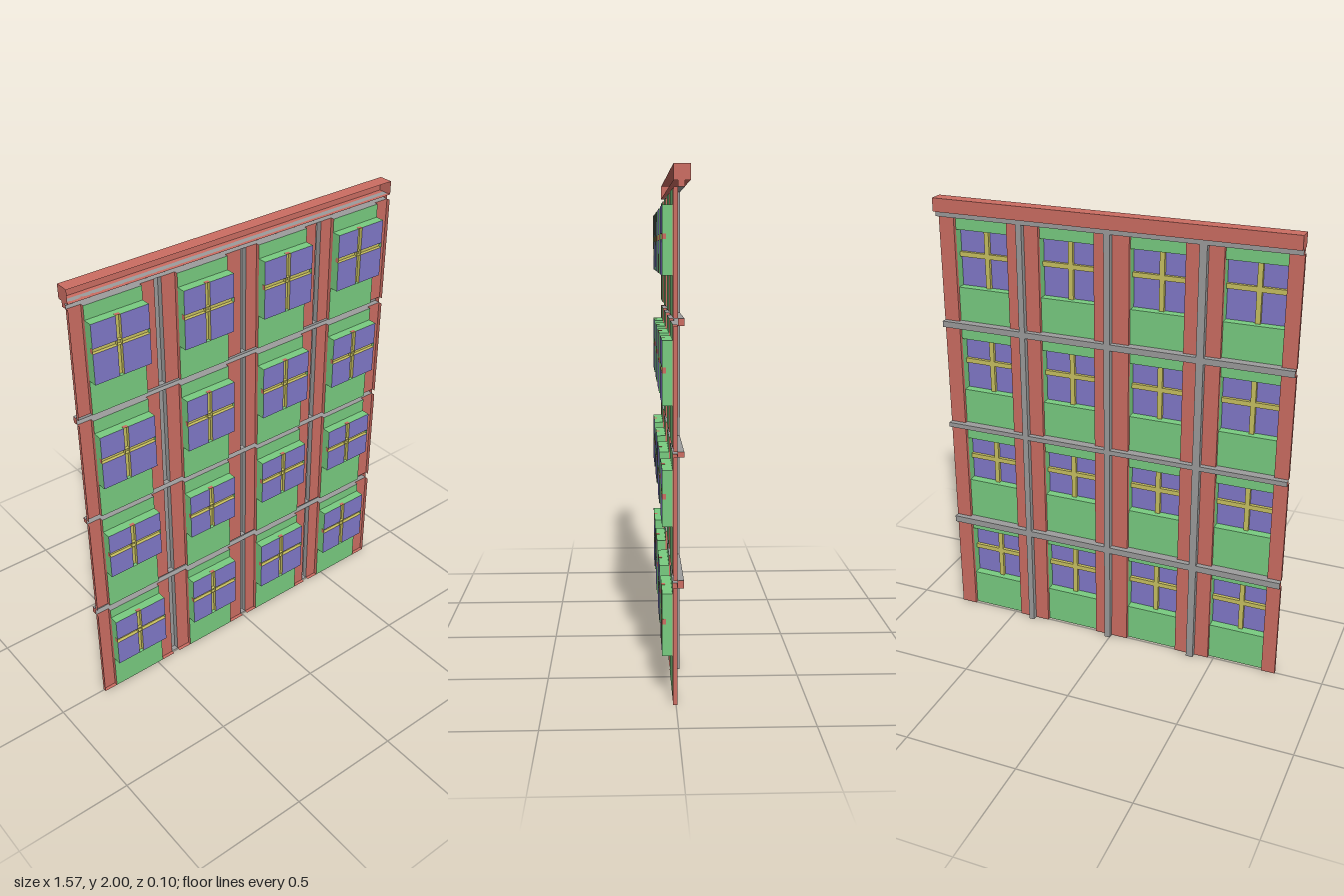
import * as THREE from 'three';

const paint = (color) => new THREE.MeshStandardMaterial({ color, side: THREE.DoubleSide });
const red = paint(0xcb6d62), green = paint(0x78cb80), blue = paint(0x8078c8);
const yellow = paint(0xc8c060), grey = paint(0x9c9c9c);

// Depths, from the window glass to the face of the cornice
const Z = { glass: 0.05, bar: 0.035, panel: 0.011, pilaster: -0.005, trim: -0.029, cornice: -0.05 };
const HALF = 0.787;

// Columns: panel edges, window bar centre; vertical trims between them
const columns = [
  { x: [-0.726, -0.474], bar: -0.608 },
  { x: [-0.316, -0.078], bar: -0.204 },
  { x: [0.077, 0.325], bar: 0.198 },
  { x: [0.47, 0.717], bar: 0.587 },
];
const trims = [[-0.41, -0.378], [-0.003, 0.024], [0.389, 0.415]];

// Storeys: wall heights, window heights, window bar centre
const storeys = [
  { y: [0, 0.454], win: [0.167, 0.411], bar: 0.302 },
  { y: [0.483, 0.947], win: [0.671, 0.886], bar: 0.786 },
  { y: [0.968, 1.427], win: [1.127, 1.369], bar: 1.259 },
  { y: [1.454, 1.918], win: [1.605, 1.859], bar: 1.746 },
];
const bands = [[0.454, 0.483], [0.947, 0.968], [1.427, 1.454], [1.918, 1.942]];

const SIDES = ['px', 'nx', 'py', 'ny', 'pz', 'nz'];

// Sheet-metal box keeping only the listed sides; caps get their own material
function shell(parent, name, x, y, z, sides, mat, caps = [], capMat = mat) {
  const geo = new THREE.BoxGeometry(x[1] - x[0], y[1] - y[0], z[1] - z[0]);
  const source = Array.from(geo.index.array);
  const index = [];
  geo.clearGroups();
  [...sides, ...caps].forEach((side, i) => {
    const at = SIDES.indexOf(side) * 6;
    geo.addGroup(index.length, 6, i < sides.length ? 0 : 1);
    index.push(...source.slice(at, at + 6));
  });
  geo.setIndex(index);
  geo.translate((x[0] + x[1]) / 2, (y[0] + y[1]) / 2, (z[0] + z[1]) / 2);
  const mesh = new THREE.Mesh(geo, [mat, capMat]);
  mesh.name = name;
  parent.add(mesh);
}

// Flat upright rectangle
function sheet(parent, name, x, y, z, mat) {
  const mesh = new THREE.Mesh(new THREE.PlaneGeometry(x[1] - x[0], y[1] - y[0]), mat);
  mesh.position.set((x[0] + x[1]) / 2, (y[0] + y[1]) / 2, z);
  mesh.name = name;
  parent.add(mesh);
}

// Recessed window: reveal, four panes and crossing bars
function addWindow(parent, col, storey) {
  const win = new THREE.Group();
  win.name = 'window';
  const b = 0.0105, e = 0.0008;
  const [x0, x1] = col.x, [y0, y1] = storey.win;
  const barX = [col.bar - b, col.bar + b], barY = [storey.bar - b, storey.bar + b];
  shell(win, 'windowReveal', col.x, storey.win, [Z.panel, Z.glass], ['px', 'nx', 'py', 'ny'], green);
  for (const px of [[x0, barX[0]], [barX[1], x1]])
    for (const py of [[y0, barY[0]], [barY[1], y1]]) sheet(win, 'pane', px, py, Z.glass, blue);
  const depth = [Z.bar, Z.glass];
  shell(win, 'horizontalBar', [x0 - e, x1 + e], barY, depth, ['py', 'ny', 'nz'], yellow, ['px', 'nx'], red);
  shell(win, 'verticalBar', barX, [y0 - e, y1 + e], depth, ['px', 'nx', 'nz'], yellow, ['py', 'ny'], red);
  parent.add(win);
}

export function createModel() {
  const model = new THREE.Group();
  model.name = 'facade';

  storeys.forEach((s, level) => {
    const floor = new THREE.Group();
    floor.name = 'storey';
    const foot = level === 0 ? ['ny'] : [];

    columns.forEach((c, i) => {
      // Wall panels under and over each window, with ledges to the bands
      sheet(floor, 'lowerPanel', c.x, [s.y[0], s.win[0]], Z.panel, green);
      sheet(floor, 'upperPanel', c.x, [s.win[1], s.y[1]], Z.panel, green);
      shell(floor, 'panelLedge', c.x, s.y, [Z.pilaster, Z.panel], level ? ['py', 'ny'] : ['py'], grey);
      addWindow(floor, c, s);

      // Pilasters on both sides of the panel
      const left = i === 0 ? -HALF : trims[i - 1][1];
      const right = i === columns.length - 1 ? HALF : trims[i][0];
      const depth = [Z.pilaster, Z.panel];
      shell(floor, 'pilaster', [left, c.x[0]], s.y, depth,
        ['px', 'nz', ...foot, ...(i === 0 ? ['nx'] : [])], red);
      shell(floor, 'pilaster', [c.x[1], right], s.y, depth,
        ['nx', 'nz', ...foot, ...(i === columns.length - 1 ? ['px'] : [])], red);
    });

    // Vertical trims between the pilasters
    for (const t of trims)
      shell(floor, 'verticalTrim', t, s.y, [Z.trim, Z.pilaster], ['px', 'nx', 'nz', ...foot], grey);
    model.add(floor);
  });

  // Horizontal bands between storeys
  for (const y of bands)
    shell(model, 'horizontalBand', [-HALF, HALF], y, [Z.trim, Z.pilaster],
      ['py', 'ny', 'nz'], grey, ['px', 'nx'], red);

  // Cornice, open on the inner side
  shell(model, 'cornice', [-HALF, HALF], [1.942, 2], [Z.cornice, Z.panel],
    ['px', 'nx', 'py', 'ny', 'nz'], red);
  return model;
}
